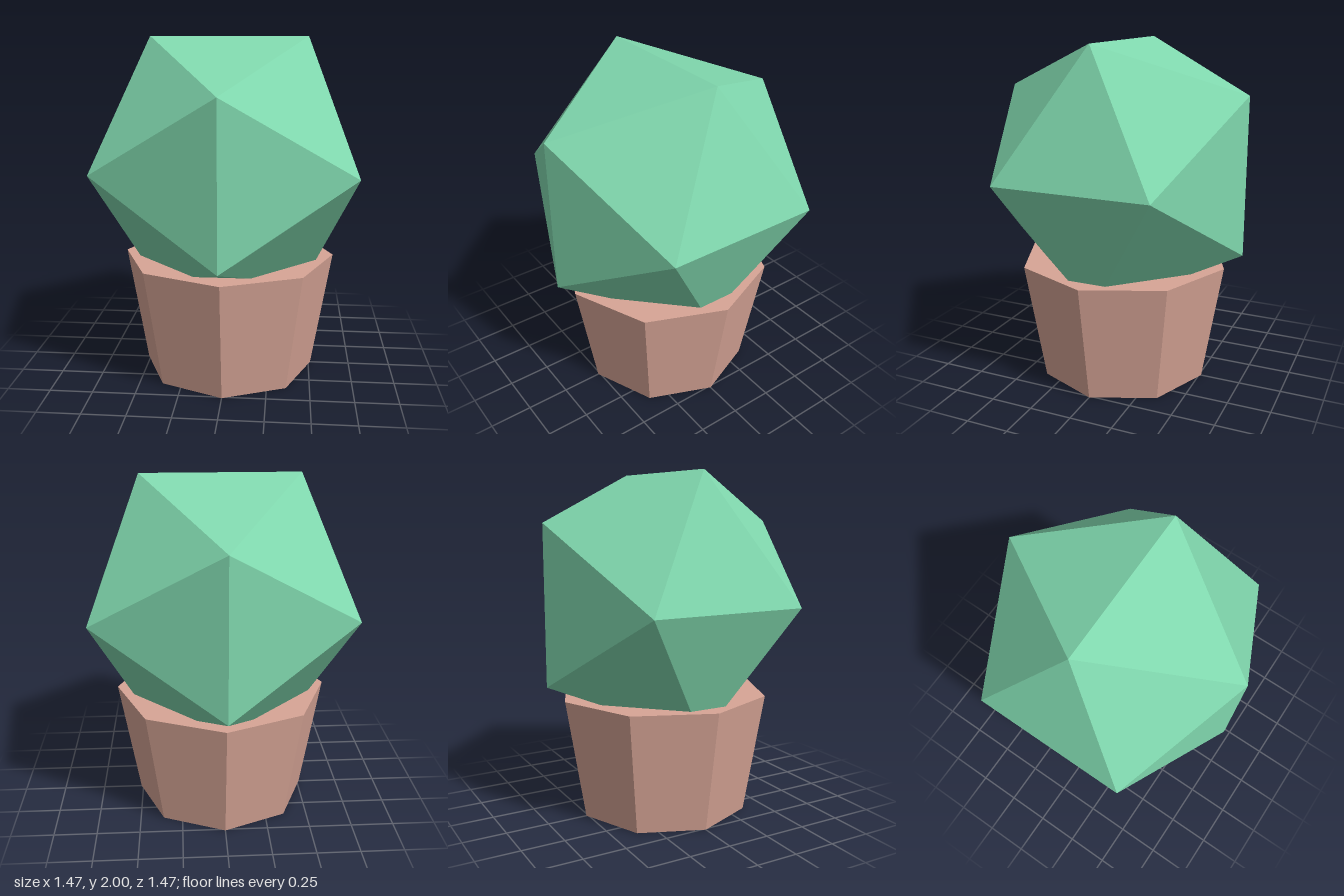
import * as THREE from 'three';

export function createModel() {
  const group = new THREE.Group();

  const addPart = (name, geometry, color, y) => {
    const material = new THREE.MeshStandardMaterial({ color, flatShading: true });
    const mesh = new THREE.Mesh(geometry, material);
    mesh.name = name;
    mesh.position.y = y;
    group.add(mesh);
  };

  // Eight-sided tapered pot, closed at the top by the soil-level face
  const potHeight = 0.71;
  addPart('pot', new THREE.CylinderGeometry(0.63, 0.512, potHeight, 8), 0xd7a596, potHeight / 2);

  // Faceted plant, sunk into the pot, with its top edge running along x
  addPart('plant', new THREE.IcosahedronGeometry(0.866, 0), 0x80d8ae, 1.263);

  return group;
}
